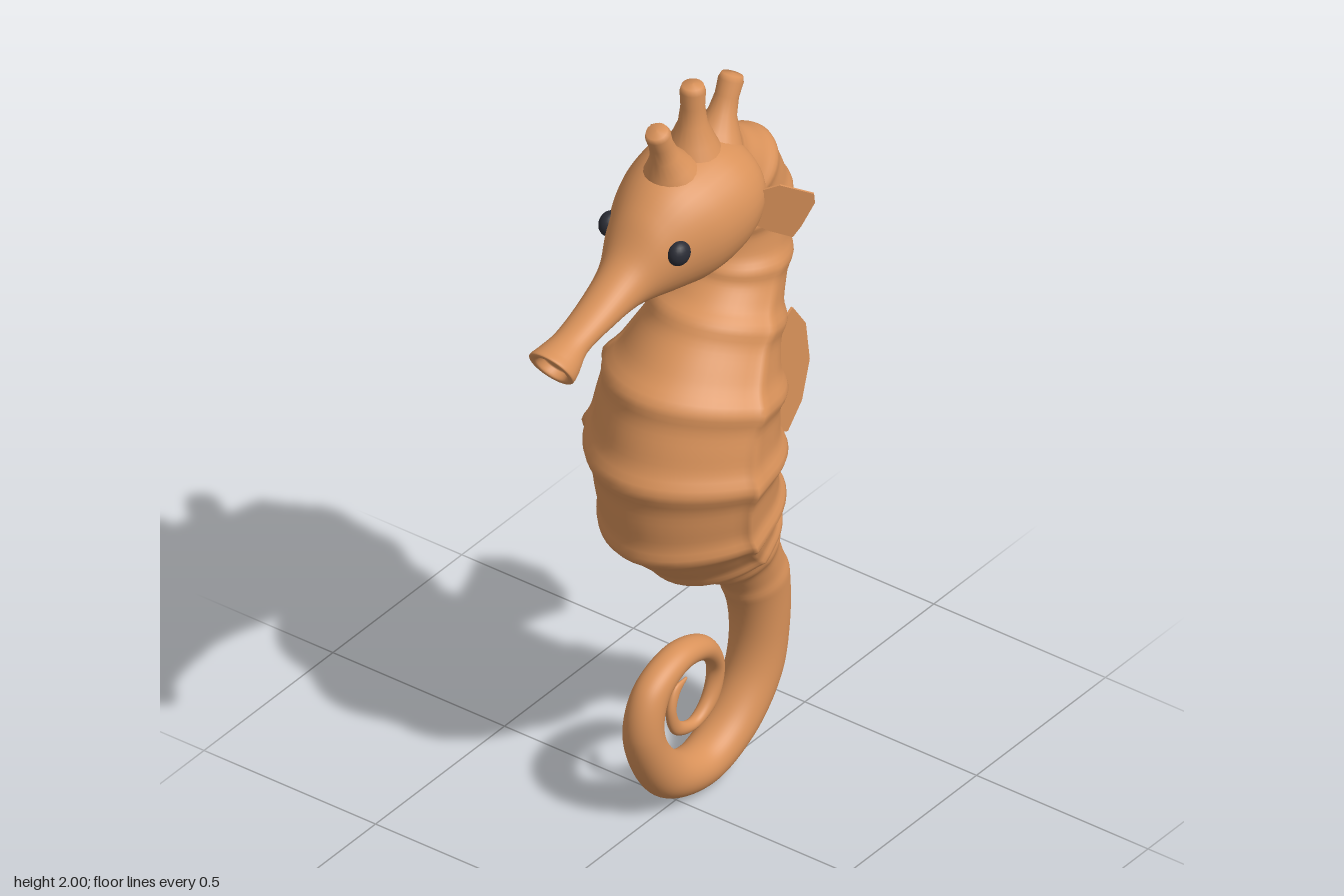
import * as THREE from 'three';

const skin = new THREE.MeshStandardMaterial({ color: 0xd9925a });
skin.name = 'orange skin';
const dark = new THREE.MeshStandardMaterial({ color: 0x2a2c35 });
dark.name = 'dark eye';

// Skins a list of sections [frontZ, frontY, backZ, backY, halfWidth, skew].
// skew moves the widest point forward; inset(t, a) sinks grooves, ridge(a) adds to the width.
function loft(sections, sub, sides, inset = () => 0, ridge = () => 0) {
  const curve = (f) => new THREE.CatmullRomCurve3(sections.map(f));
  const front = curve((s) => new THREE.Vector3(0, s[1], s[0]));
  const back = curve((s) => new THREE.Vector3(0, s[3], s[2]));
  const size = curve((s, i) => new THREE.Vector3(s[4], s[5] || 0, i));
  const spans = sections.length - 1;
  const rings = spans * sub;
  const pos = [], index = [];
  for (let i = 0; i <= rings; i++) {
    const u = i / rings, t = u * spans;
    const F = front.getPoint(u), B = back.getPoint(u), S = size.getPoint(u);
    const C = F.clone().add(B).multiplyScalar(0.5);
    const D = F.clone().sub(B).multiplyScalar(0.5);
    const skew = Math.max(0, S.y);
    for (let k = 0; k < sides; k++) {
      const a = (k / sides) * Math.PI * 2;
      const c = Math.cos(a), x = Math.sin(a);
      const depth = c > 0 ? skew + (1 - skew) * Math.pow(c, 1 + 3 * skew) : skew + (1 + skew) * c;
      const m = 1 - inset(t, a);
      const w = S.x * m + ridge(a) * skew;
      pos.push(x * w, C.y + D.y * depth * m, C.z + D.z * depth * m);
    }
    if (i === 0 || i === rings) continue;
  }
  const at = (i, k) => i * sides + (k % sides);
  for (let i = 0; i < rings; i++) {
    for (let k = 0; k < sides; k++) {
      const a = at(i, k), b = at(i, k + 1), c = at(i + 1, k), d = at(i + 1, k + 1);
      index.push(a, c, b, b, c, d);
    }
  }
  // End caps
  for (let k = 1; k < sides - 1; k++) {
    index.push(at(0, 0), at(0, k), at(0, k + 1));
    index.push(at(rings, 0), at(rings, k + 1), at(rings, k));
  }
  const g = new THREE.BufferGeometry();
  g.setAttribute('position', new THREE.Float32BufferAttribute(pos, 3));
  g.setIndex(index);
  g.computeVertexNormals();
  return g;
}

// Thin fin cut from an outline in the xy plane
function fin(points) {
  const shape = new THREE.Shape(points.map(([x, y]) => new THREE.Vector2(x, y)));
  const g = new THREE.ExtrudeGeometry(shape, { depth: 0.006, bevelEnabled: false });
  return g.translate(0, 0, -0.003);
}

export function createModel() {
  const model = new THREE.Group();
  model.name = 'seahorse';
  const add = (name, geometry, material = skin) => {
    const mesh = new THREE.Mesh(geometry, material);
    mesh.name = name;
    model.add(mesh);
    return mesh;
  };

  // Neck and trunk, one section per bony ring
  const trunk = [
    [-0.09, 1.66, -0.20, 1.825, 0.075],
    [-0.13, 1.61, -0.32, 1.745, 0.105],
    [-0.15, 1.54, -0.385, 1.605, 0.11],
    [-0.115, 1.45, -0.378, 1.42, 0.125, 0.03],
    [-0.01, 1.37, -0.33, 1.255, 0.165, 0.12],
    [0.15, 1.22, -0.305, 1.10, 0.225, 0.2],
    [0.218, 1.01, -0.30, 0.95, 0.245, 0.24],
    [0.182, 0.785, -0.31, 0.82, 0.22, 0.22],
    [0.03, 0.64, -0.315, 0.73, 0.165, 0.12],
    [-0.12, 0.555, -0.345, 0.635, 0.10, 0.03],
    [-0.22, 0.45, -0.392, 0.495, 0.078],
  ];
  // Tail curling inward, inner edge first
  const tail = [
    [-0.25, 0.335, -0.397, 0.325, 0.07],
    [-0.23, 0.23, -0.365, 0.19, 0.068],
    [-0.16, 0.145, -0.26, 0.07, 0.065],
    [-0.08, 0.115, -0.09, 0.004, 0.06],
    [0.005, 0.15, 0.08, 0.06, 0.055],
    [0.075, 0.255, 0.175, 0.255, 0.05],
    [0.06, 0.33, 0.135, 0.385, 0.044],
    [0, 0.37, 0, 0.44, 0.04],
    [-0.085, 0.355, -0.118, 0.405, 0.034],
    [-0.135, 0.30, -0.17, 0.31, 0.025],
    [-0.115, 0.235, -0.145, 0.205, 0.02],
    [-0.07, 0.20, -0.065, 0.17, 0.016],
    [-0.015, 0.22, 0.01, 0.195, 0.013],
    [0.005, 0.265, 0.033, 0.27, 0.012],
    [-0.01, 0.30, 0.005, 0.325, 0.008],
    [-0.04, 0.325, -0.04, 0.331, 0.003],
  ];
  const grooves = (t) => {
    const d = Math.abs(t - Math.round(t));
    const amp = t < 10 ? 0.085 : 0;
    return amp * (1 - Math.exp(-Math.pow(d / 0.17, 2)));
  };
  const sideRidge = (a) => {
    const off = Math.abs(Math.abs(a - Math.PI) - Math.PI / 2);
    return 0.06 * Math.exp(-Math.pow(off / 0.14, 2));
  };
  add('body and tail', loft([...trunk, ...tail], 12, 48, grooves, sideRidge));

  // Head and snout, from the nape to the flared mouth, top edge first
  add('head and snout', loft([
    [-0.215, 1.74, -0.20, 1.66, 0.05],
    [-0.18, 1.80, -0.17, 1.58, 0.13],
    [-0.10, 1.832, -0.10, 1.525, 0.162],
    [0, 1.825, 0, 1.50, 0.155],
    [0.08, 1.80, 0.08, 1.505, 0.128],
    [0.15, 1.745, 0.15, 1.515, 0.095],
    [0.22, 1.655, 0.21, 1.522, 0.066],
    [0.31, 1.60, 0.29, 1.515, 0.053],
    [0.42, 1.56, 0.39, 1.492, 0.046],
    [0.485, 1.551, 0.43, 1.455, 0.057],
    [0.515, 1.548, 0.455, 1.442, 0.06],
    [0.508, 1.535, 0.46, 1.452, 0.045],
    [0.48, 1.53, 0.44, 1.465, 0.035],
  ], 6, 36));

  // Crown horns with flared bases: [z, y, lean, height scale]
  const hornProfile = [[0.085, -0.04], [0.055, 0.02], [0.035, 0.065], [0.029, 0.11],
    [0.031, 0.15], [0.026, 0.165], [0, 0.168]].map(([r, y]) => new THREE.Vector2(r, y));
  [[0.025, 1.805, 0.35, 0.88], [-0.065, 1.825, 0, 1.04], [-0.155, 1.8, -0.42, 0.95]].forEach(([z, y, lean, h]) => {
    const horn = add('crown horn', new THREE.LatheGeometry(hornProfile, 20));
    horn.position.set(0, y, z);
    horn.rotation.x = lean;
    horn.scale.set(1, h, 1);
  });

  // Eyes and cheek fins on both sides
  const cheekOutline = [[0, 1.62], [0.035, 1.60], [0.09, 1.58], [0.11, 1.61], [0.142, 1.675],
    [0.14, 1.70], [0.06, 1.728], [0, 1.71]];
  for (const side of [1, -1]) {
    const eye = add(side > 0 ? 'left eye' : 'right eye', new THREE.SphereGeometry(0.032, 20, 14), dark);
    eye.position.set(side * 0.1, 1.665, 0.122);
    eye.scale.x = 0.8;
    const outline = cheekOutline.map(([x, y]) => [side * x, y]);
    const cheek = add(side > 0 ? 'left cheek fin' : 'right cheek fin', fin(outline));
    cheek.position.set(side * 0.13, 0, -0.13);
    cheek.rotation.y = side * 0.71;
  }

  // Fin on the back
  const dorsal = add('back fin', fin([[0.26, 1.07], [0.31, 1.085], [0.38, 1.115], [0.45, 1.152],
    [0.5, 1.08], [0.515, 0.97], [0.485, 0.87], [0.43, 0.812], [0.36, 0.845], [0.26, 0.88]]));
  dorsal.rotation.y = Math.PI / 2;
  return model;
}
